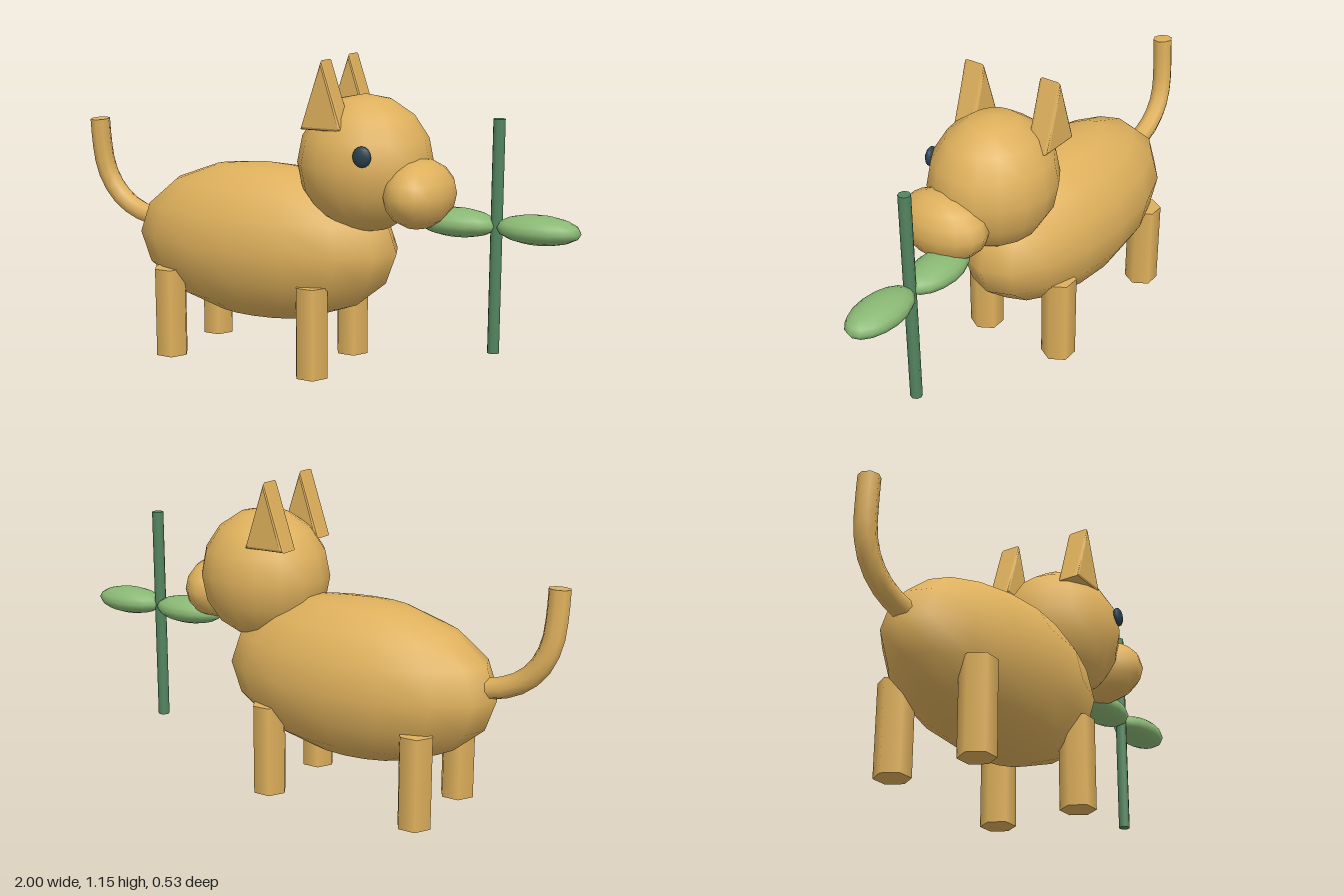
import * as THREE from 'three';

const mat = (name, color) => new THREE.MeshStandardMaterial({ name, color });

export function createModel() {
  const fur = mat('tan fur', 0xdeb05c);
  const dark = mat('dark eye', 0x2a404c);
  const leafGreen = mat('leaf green', 0x8ab874);
  const stemGreen = mat('stem green', 0x548560);

  const model = new THREE.Group();
  model.name = 'dogWithTwig';

  const add = (name, geometry, material, x = 0, y = 0, z = 0) => {
    const mesh = new THREE.Mesh(geometry, material);
    mesh.name = name;
    mesh.position.set(x, y, z);
    model.add(mesh);
    return mesh;
  };
  // Low-poly ellipsoid with its pole upwards
  const ellipsoid = (name, material, [x, y, z], [rx, ry, rz]) =>
    add(name, new THREE.SphereGeometry(1, 16, 8).scale(rx, ry, rz), material, x, y, z);

  // Body, head and snout
  ellipsoid('body', fur, [-0.222, 0.45, 0], [0.543, 0.3, 0.267]);
  ellipsoid('head', fur, [0.202, 0.778, 0.018], [0.25, 0.25, 0.229]);
  ellipsoid('snout', fur, [0.435, 0.693, 0.063], [0.121, 0.123, 0.177]);

  // Single eye on the near side of the face
  ellipsoid('eye', dark, [0.288, 0.835, 0.229], [0.034, 0.037, 0.017]).rotation.y = 0.15;

  // Ears: bevelled triangular prisms
  const earShape = new THREE.Shape([
    new THREE.Vector2(-0.069, 0.01),
    new THREE.Vector2(0.069, 0.01),
    new THREE.Vector2(0, 0.228),
  ]);
  const earGeometry = new THREE.ExtrudeGeometry(earShape, {
    depth: 0.064, bevelSize: 0.012, bevelThickness: 0.012, bevelSegments: 2,
  }).translate(0, 0, -0.032);
  add('leftEar', earGeometry, fur, 0.115, 0.91, 0.16);
  add('rightEar', earGeometry, fur, 0.078, 0.91, -0.134);

  // Four six-sided legs with corners fore and aft
  const legGeometry = new THREE.CylinderGeometry(0.065, 0.065, 0.34, 6).rotateY(Math.PI / 6);
  for (const [end, x] of [['front', 0.063], ['hind', -0.545]])
    for (const [side, z] of [['Near', 0.17], ['Far', -0.17]])
      add(`${end}${side}Leg`, legGeometry, fur, x, 0.17, z);

  // Curved tail with a closed tip
  const tailPath = new THREE.CatmullRomCurve3([
    [-0.68, 0.485, 0], [-0.77, 0.498, 0], [-0.86, 0.54, 0], [-0.92, 0.605, 0.003],
    [-0.95, 0.68, 0.01], [-0.96, 0.77, 0.018], [-0.962, 0.869, 0.024],
  ].map((p) => new THREE.Vector3(...p)));
  add('tail', new THREE.TubeGeometry(tailPath, 10, 0.039, 8), fur);
  const tip = add('tailTip', new THREE.CircleGeometry(0.039, 8), fur, -0.962, 0.869, 0.024);
  tip.quaternion.setFromUnitVectors(new THREE.Vector3(0, 0, 1), tailPath.getTangent(1));

  // Twig with two leaves, held at the mouth
  add('stem', new THREE.CylinderGeometry(0.022, 0.022, 0.83, 8), stemGreen, 0.697, 0.55, 0);
  ellipsoid('outerLeaf', leafGreen, [0.847, 0.592, 0], [0.15, 0.051, 0.082]);
  ellipsoid('innerLeaf', leafGreen, [0.552, 0.592, 0], [0.15, 0.051, 0.082]);

  return model;
}
